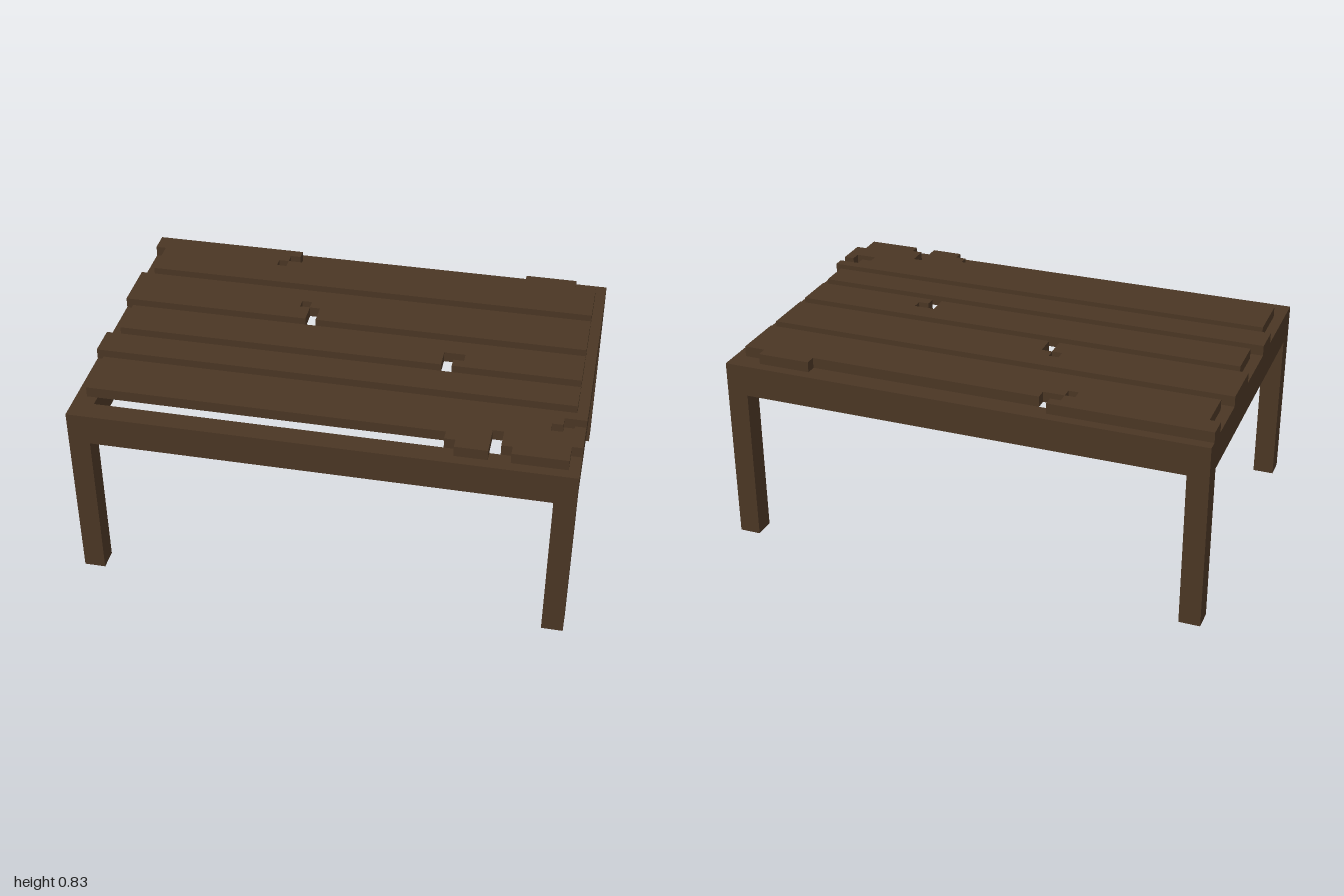
import * as THREE from 'three';

// The table is laid out on a block grid: 46 wide, 19 high, 31 deep.
const U = 2 / 46;
const W = 46, D = 31, RAIL_BOTTOM = 15, RAIL_TOP = 18, SLAT_TOP = 19;

const toPoints = (cells) =>
  cells.map(([c, r]) => new THREE.Vector2((c - W / 2) * U, (r - D / 2) * U));

const rect = (c0, r0, c1, r1) => [[c0, r0], [c1, r0], [c1, r1], [c0, r1]];

// Extrude a floor-plan outline (column, row) between two grid heights.
function slab(outline, holes, bottom, top) {
  const shape = new THREE.Shape(toPoints(outline));
  for (const hole of holes) shape.holes.push(new THREE.Path(toPoints(hole)));
  const geo = new THREE.ExtrudeGeometry(shape, { depth: (top - bottom) * U, bevelEnabled: false });
  geo.rotateX(Math.PI / 2);
  geo.translate(0, top * U, 0);
  return geo;
}

// A one-block hole, inset a hair so it never touches a neighbouring notch.
const knot = (c, r) => rect(c + 0.02, r + 0.02, c + 0.98, r + 0.98);

export function createModel() {
  const wood = new THREE.MeshStandardMaterial({ color: 0x4a3624 });
  wood.name = 'darkWood';

  const table = new THREE.Group();
  table.name = 'table';
  const add = (name, geo) => {
    const mesh = new THREE.Mesh(geo, wood);
    mesh.name = name;
    table.add(mesh);
    return mesh;
  };

  // Rail frame
  add('frame', slab(rect(0, 0, W, D), [rect(2, 2, W - 2, D - 2)], RAIL_BOTTOM, RAIL_TOP));

  // Four legs
  for (const [sx, side] of [[1, 'Left'], [-1, 'Right']]) {
    for (const [sz, end] of [[1, 'front'], [-1, 'back']]) {
      const leg = add(`${end}${side}Leg`, new THREE.BoxGeometry(2 * U, RAIL_BOTTOM * U, 2 * U));
      leg.position.set(sx * (W / 2 - 1) * U, RAIL_BOTTOM * U / 2, sz * (D / 2 - 1) * U);
    }
  }

  // Worn slats from back to front, with chipped ends and broken-out gaps
  const slats = [
    { outline: [[0, 1], [15, 1], [15, 2], [14, 2], [14, 3], [16, 3], [16, 2], [38, 2], [38, 1],
      [43, 1], [43, 2], [45, 2], [45, 7], [1, 7], [1, 3], [0, 3]], holes: [knot(13, 3)] },
    { outline: [[0, 8], [45, 8], [45, 13], [19, 13], [19, 11], [18, 11], [18, 13], [0, 13]],
      holes: [knot(17, 10)] },
    { outline: [[1, 14], [45, 14], [45, 18], [33, 18], [33, 17], [34, 17], [34, 16], [32, 16],
      [32, 18], [1, 18]], holes: [] },
    { outline: rect(0, 19, 45, 22), holes: [] },
    { outline: [[1, 23], [46, 23], [46, 24], [44, 24], [44, 25], [43, 25], [43, 26], [45, 26],
      [45, 25], [46, 25], [46, 28], [45, 28], [45, 30], [40, 30], [40, 29], [39, 29], [39, 27],
      [38, 27], [38, 30], [35, 30], [35, 29], [34, 29], [34, 28], [1, 28]], holes: [] },
  ];
  slats.forEach(({ outline, holes }, i) => {
    add(`slat${i + 1}`, slab(outline, holes, RAIL_TOP, SLAT_TOP));
  });

  return table;
}
